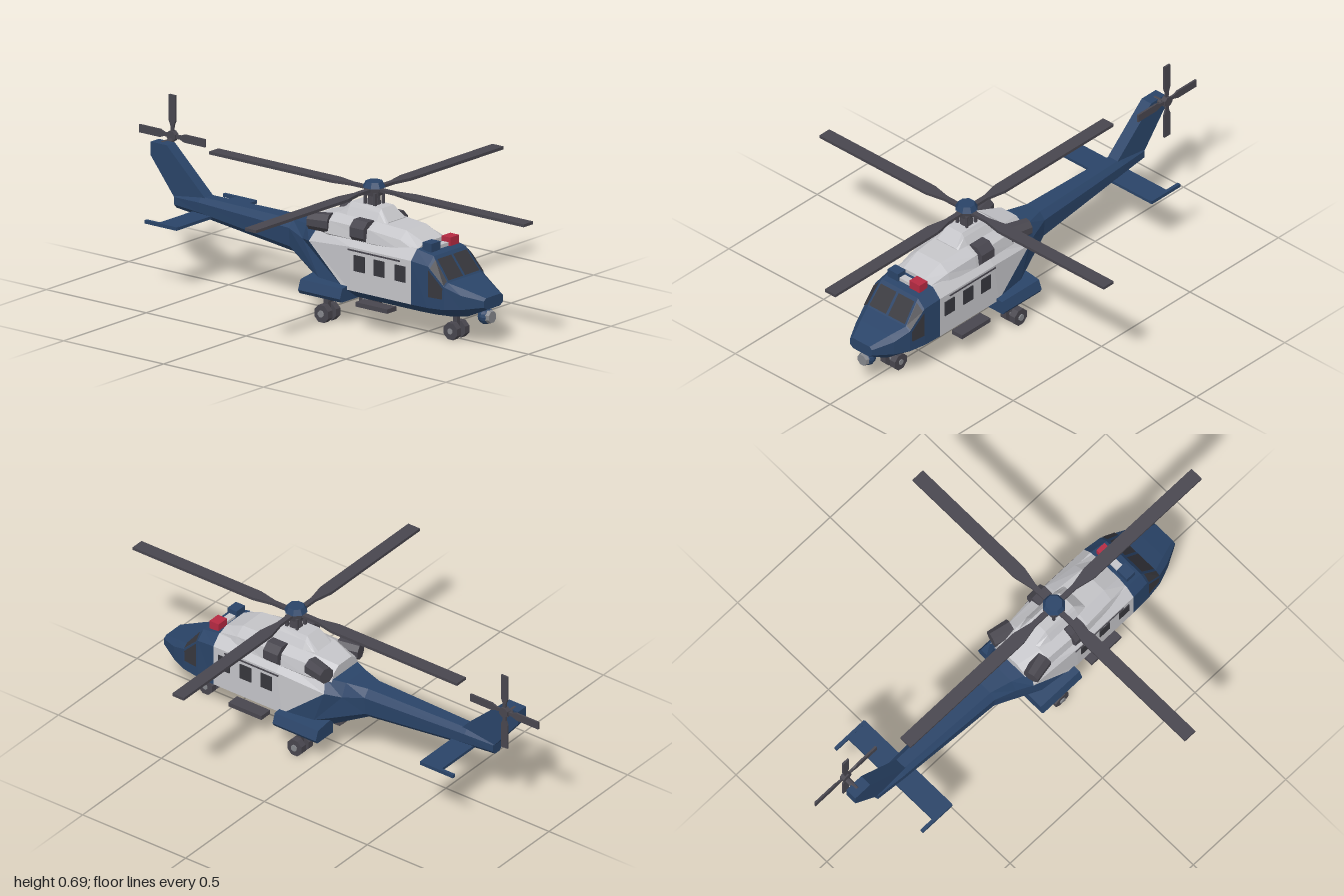
import * as THREE from 'three';

const mat = (name, color) => Object.assign(new THREE.MeshStandardMaterial({ color }), { name });

export function createModel() {
  const navy = mat('navy paint', 0x2a4468), light = mat('light grey paint', 0xc4c4c8);
  const dark = mat('dark grey', 0x48464e), glass = mat('dark glass', 0x37373d);
  const red = mat('red lamp', 0xb52a42), steel = mat('steel grey', 0x85878c);
  const model = new THREE.Group();
  model.name = 'helicopter';

  // faceted mesh helper
  const add = (name, geo, material, x = 0, y = 0, z = 0, parent = model) => {
    const g = geo.index ? geo.toNonIndexed() : geo;
    g.computeVertexNormals();
    const m = new THREE.Mesh(g, material);
    m.name = name;
    m.position.set(x, y, z);
    parent.add(m);
    return m;
  };
  // box from centre and size
  const box = (name, material, [x, y, z], [w, h, d], parent) =>
    add(name, new THREE.BoxGeometry(w, h, d), material, x, y, z, parent);
  // cylinder along a chosen axis
  const cyl = (name, material, [x, y, z], r0, r1, len, axis = 'y', sides = 8, parent = model) => {
    const g = new THREE.CylinderGeometry(r0, r1, len, sides);
    if (sides === 8) g.rotateY(Math.PI / 8);
    if (axis === 'x') g.rotateZ(-Math.PI / 2);
    if (axis === 'z') g.rotateX(Math.PI / 2);
    return add(name, g, material, x, y, z, parent);
  };
  // mirrored loft, front to back; station = four [x, y, z] points, top to bottom
  const loft = (name, stations, mats, pick = () => 0) => {
    const pos = [], g = new THREE.BufferGeometry();
    const rings = stations.map(s => [...s, ...[...s].reverse().map(([x, y, z]) => [-x, y, z])]);
    const face = (slot, ...pts) => {
      g.addGroup(pos.length / 3, pts.length, slot);
      pts.forEach(p => pos.push(...p));
    };
    const last = rings.length - 1;
    for (let k = 0; k < last; k++) for (let i = 0; i < 8; i++) {
      const j = (i + 1) % 8, a = rings[k], b = rings[k + 1];
      face(pick(k, i), a[i], a[j], b[j], a[i], b[j], b[i]);
    }
    for (let i = 1; i < 7; i++) {
      const a = rings[0], b = rings[last];
      face(pick(0, i), a[0], a[i + 1], a[i]);
      face(pick(last - 1, i), b[0], b[i], b[i + 1]);
    }
    g.setAttribute('position', new THREE.Float32BufferAttribute(pos, 3));
    return add(name, g, mats);
  };
  // station at constant z: x and y of top, shoulder, side and bottom points
  const st = (z, ...v) => [0, 2, 4, 6].map(i => [v[i], v[i + 1], z]);
  // flat polygon extruded by depth
  const slab = (pts, depth) => new THREE.ExtrudeGeometry(
    new THREE.Shape(pts.map(p => new THREE.Vector2(...p))), { depth, bevelEnabled: false });

  // fuselage and tail boom
  loft('fuselage', [
    st(0.825, 0.045, 0.205, 0.058, 0.195, 0.058, 0.17, 0.04, 0.158),
    st(0.745, 0.075, 0.232, 0.1, 0.212, 0.1, 0.155, 0.06, 0.12),
    st(0.68, 0.1, 0.252, 0.122, 0.238, 0.124, 0.148, 0.07, 0.11),
    st(0.605, 0.095, 0.345, 0.13, 0.31, 0.134, 0.145, 0.08, 0.107),
    st(0.525, 0.1, 0.36, 0.137, 0.32, 0.137, 0.145, 0.08, 0.105),
    st(0.22, 0.1, 0.36, 0.137, 0.32, 0.137, 0.145, 0.08, 0.105),
    [[0.09, 0.352, 0.02], [0.12, 0.3, 0], [0.137, 0.145, 0.19], [0.08, 0.105, 0.19]],
    [[0.06, 0.345, -0.06], [0.085, 0.29, -0.06], [0.12, 0.16, 0.05], [0.07, 0.107, 0.05]],
    st(-0.15, 0.035, 0.34, 0.06, 0.31, 0.055, 0.235, 0.03, 0.21),
    st(-0.62, 0.022, 0.34, 0.04, 0.32, 0.038, 0.28, 0.02, 0.26),
    st(-0.75, 0.02, 0.325, 0.028, 0.315, 0.028, 0.285, 0.015, 0.27),
  ], [navy, light], (k, i) => ((k === 4 || k === 5) && (i < 2 || i > 4) ? 1 : 0));

  // engine cowling and rotor fairing
  loft('engineCowling', [
    st(0.525, 0.055, 0.375, 0.09, 0.36, 0.1, 0.345, 0.1, 0.33),
    st(0.44, 0.06, 0.41, 0.1, 0.38, 0.11, 0.345, 0.1, 0.33),
    st(0.3, 0.068, 0.42, 0.112, 0.395, 0.12, 0.345, 0.1, 0.33),
    st(0.09, 0.065, 0.42, 0.105, 0.395, 0.115, 0.345, 0.1, 0.33),
    st(-0.01, 0.04, 0.395, 0.07, 0.375, 0.085, 0.34, 0.07, 0.32),
  ], light);
  loft('rotorFairing', [
    st(0.34, 0.05, 0.42, 0.06, 0.415, 0.065, 0.41, 0.065, 0.4),
    st(0.295, 0.038, 0.465, 0.05, 0.45, 0.07, 0.415, 0.07, 0.4),
    st(0.145, 0.038, 0.468, 0.05, 0.45, 0.07, 0.415, 0.07, 0.4),
    st(0.09, 0.04, 0.42, 0.055, 0.415, 0.06, 0.41, 0.06, 0.4),
  ], light);

  // glazing: four corners, counter-clockwise from outside
  const pane = (name, p) => {
    const g = new THREE.BufferGeometry();
    g.setAttribute('position', new THREE.Float32BufferAttribute(
      [p[0], p[1], p[2], p[0], p[2], p[3]].flat(), 3));
    add(name, g, glass);
  };
  for (const s of [1, -1]) {
    const mirror = pts => (s > 0 ? pts : pts.reverse()).map(([x, y, z]) => [s * x, y, z]);
    pane('windshield', mirror([[0.006, 0.26, 0.678], [0.094, 0.26, 0.678], [0.088, 0.334, 0.618], [0.006, 0.334, 0.618]]));
    pane('cornerWindow', mirror([[0.104, 0.258, 0.678], [0.124, 0.245, 0.677], [0.13, 0.304, 0.614], [0.1, 0.333, 0.617]]));
    pane('cockpitSideWindow', mirror([[0.128, 0.19, 0.672], [0.135, 0.19, 0.61], [0.135, 0.298, 0.61], [0.127, 0.234, 0.674]]));
    for (const z of [0.472, 0.367, 0.267])
      box('cabinWindow', glass, [s * 0.137, 0.26, z], [0.008, 0.064, 0.054]);
    box('doorRail', dark, [s * 0.137, 0.309, 0.34], [0.006, 0.006, 0.26]);

    // engine intake and exhaust
    cyl('engineIntake', dark, [s * 0.09, 0.38, 0.25], 0.048, 0.048, 0.07, 'z');
    const exhaust = cyl('exhaust', dark, [s * 0.098, 0.38, 0.04], 0.034, 0.04, 0.09, 'z');
    exhaust.rotation.y = Math.PI - s * 0.25;

    // sponson, boarding step and main gear
    add('sponson', slab([[0.07, 0.1], [0.17, 0.1], [0.18, 0.115], [0.165, 0.155], [0.07, 0.168]]
      .map(([x, y]) => [s * x, y]), 0.21), navy, 0, 0, -0.005);
    box('boardingStep', dark, [s * 0.138, 0.105, 0.35], [0.055, 0.018, 0.16]);
    cyl('mainGearArm', dark, [s * 0.09, 0.09, 0.105], 0.016, 0.016, 0.1, 'x');
    box('mainGearLeg', dark, [s * 0.135, 0.068, 0.105], [0.018, 0.07, 0.022]);
    cyl('mainAxle', steel, [s * 0.135, 0.037, 0.105], 0.014, 0.014, 0.085, 'x');
    for (const x of [0.111, 0.158])
      cyl('mainWheel', dark, [s * x, 0.037, 0.105], 0.037, 0.037, 0.028, 'x');
    cyl('noseWheel', dark, [s * 0.025, 0.036, 0.64], 0.036, 0.036, 0.026, 'x');

    // stabiliser tip
    box('stabiliserTip', navy, [s * 0.237, 0.27, -0.64], [0.014, 0.014, 0.16]);
  }

  // nose gear and sensor ball
  box('noseGearLeg', dark, [0, 0.08, 0.64], [0.018, 0.09, 0.02]);
  cyl('noseAxle', steel, [0, 0.036, 0.64], 0.012, 0.012, 0.082, 'x');
  add('sensorBall', new THREE.SphereGeometry(0.033, 10, 8), navy, 0, 0.118, 0.787);
  cyl('sensorLens', steel, [0, 0.118, 0.812], 0.024, 0.028, 0.016, 'z');
  box('sensorMount', dark, [0, 0.15, 0.775], [0.03, 0.03, 0.03]);

  // beacon bar
  box('beaconBase', light, [0, 0.36, 0.56], [0.15, 0.014, 0.03]);
  box('redBeacon', red, [0.057, 0.37, 0.562], [0.054, 0.034, 0.044]);
  box('blueBeacon', navy, [-0.057, 0.37, 0.562], [0.054, 0.034, 0.044]);

  // fin and stabiliser
  const fin = slab([[-0.59, 0.33], [-0.79, 0.515], [-0.87, 0.515], [-0.87, 0.46], [-0.75, 0.31], [-0.75, 0.285], [-0.62, 0.3]]
    .map(([z, y]) => [-z, y]), 0.05);
  fin.rotateY(Math.PI / 2);
  add('tailFin', fin, navy, -0.025, 0, 0);
  box('stabiliser', navy, [0, 0.27, -0.607], [0.48, 0.012, 0.098]);

  // main rotor
  const rotor = new THREE.Group();
  rotor.name = 'mainRotor';
  rotor.position.set(0, 0.525, 0.228);
  model.add(rotor);
  cyl('mast', dark, [0, -0.04, 0], 0.022, 0.03, 0.08, 'y', 8, rotor);
  cyl('rotorHead', dark, [0, -0.006, 0], 0.04, 0.034, 0.032, 'y', 8, rotor);
  cyl('rotorCap', navy, [0, 0.02, 0], 0.034, 0.046, 0.022, 'y', 8, rotor);
  [0.75, 0.803, 0.75, 0.772].forEach((R, k) => {
    const g = slab([[0.02, -0.011], [0.11, -0.011], [0.19, -0.028], [R, -0.028], [R, 0.028], [0.19, 0.028], [0.11, 0.011], [0.02, 0.011]], 0.012);
    g.rotateX(-Math.PI / 2);
    add('rotorBlade', g, dark, 0, -0.006, 0, rotor).rotation.y = k * Math.PI / 2;
    const link = box('pitchLink', dark, [0.035, -0.035, 0], [0.01, 0.05, 0.01], rotor);
    link.position.applyAxisAngle(new THREE.Vector3(0, 1, 0), k * Math.PI / 2 + Math.PI / 4);
  });

  // tail rotor
  const tail = new THREE.Group();
  tail.name = 'tailRotor';
  tail.position.set(0.065, 0.525, -0.835);
  model.add(tail);
  cyl('tailShaft', dark, [-0.035, -0.02, 0], 0.012, 0.012, 0.06, 'x', 8, tail);
  cyl('tailHub', dark, [0, 0, 0], 0.022, 0.022, 0.022, 'x', 8, tail);
  for (let k = 0; k < 4; k++) {
    const g = slab([[-0.006, 0], [0.006, 0], [0.008, 0.04], [0.016, 0.06], [0.016, 0.165], [-0.016, 0.165], [-0.016, 0.06], [-0.008, 0.04]], 0.008);
    g.rotateY(Math.PI / 2);
    add('tailBlade', g, dark, -0.004, 0, 0, tail).rotation.x = k * Math.PI / 2;
  }
  return model;
}
